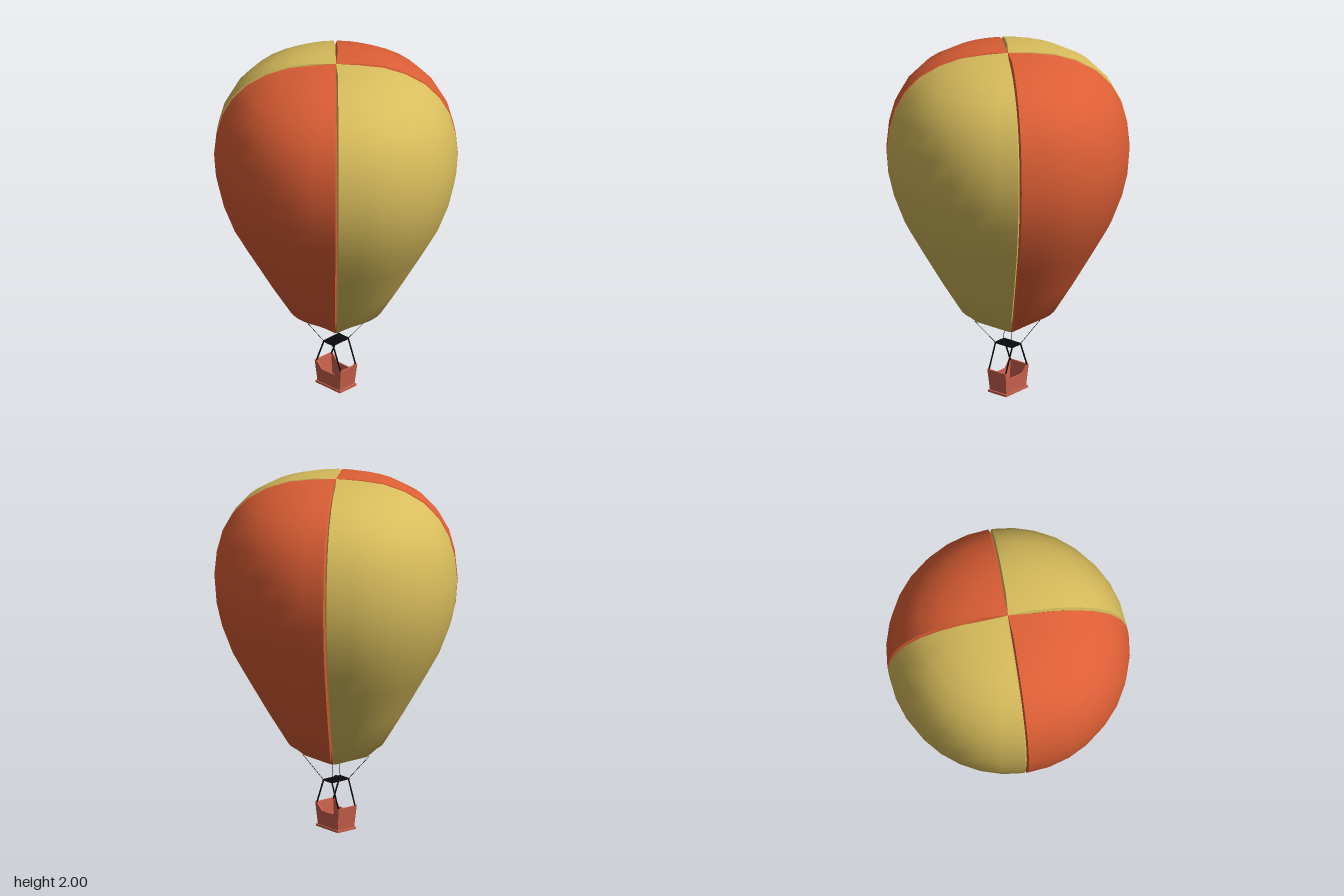
import * as THREE from 'three';
import { mergeGeometries, toCreasedNormals } from 'three/addons/utils/BufferGeometryUtils.js';

const mat = (color) => new THREE.MeshStandardMaterial({ color, side: THREE.DoubleSide });
const RED = mat(0xdd5f35), YELLOW = mat(0xd8bd5c), WICKER = mat(0xcc624d), BLACK = mat(0x0a0a0a);

// Envelope profile [radius, height], mouth to crown
const PROFILE = [
  [0.13, 0.412], [0.265, 0.495], [0.372, 0.67], [0.495, 0.885], [0.57, 1.02], [0.63, 1.18],
  [0.66, 1.31], [0.67, 1.44], [0.657, 1.57], [0.625, 1.69], [0.57, 1.79], [0.49, 1.875],
  [0.38, 1.94], [0.26, 1.98], [0.13, 1.996], [0, 2],
];

function mesh(name, geometry, material) {
  const m = new THREE.Mesh(geometry, material);
  m.name = name;
  return m;
}

// One quarter panel facing +z, its long edges folded inward to form the seams
function goreGeometry() {
  const segments = 8, groove = 0.022, gap = 0.009;
  const positions = [], index = [];
  const columns = segments + 3;
  PROFILE.forEach(([r, y], i) => {
    const below = PROFILE[Math.max(i - 1, 0)];
    const above = i === PROFILE.length - 1 ? [-below[0], below[1]] : PROFILE[i + 1];
    const inward = new THREE.Vector2(below[1] - above[1], above[0] - below[0]).normalize();
    for (let j = 0; j < columns; j++) {
      const fold = j === 0 || j === columns - 1;
      const t = THREE.MathUtils.clamp((j - 1) / segments, 0, 1) * 2 - 1;
      const half = Math.PI / 4 - (fold ? 0 : Math.asin(Math.min(0.5, gap / Math.max(r, 0.001))));
      const a = t * half;
      // the mouth is square, every other ring is round
      let radius = i === 0 ? r / Math.cos(a) : r;
      let h = y;
      if (fold) {
        radius = Math.max(0, radius + inward.x * groove);
        if (i > 0) h += inward.y * groove;
      }
      positions.push(radius * Math.sin(a), h, radius * Math.cos(a));
      if (i > 0 && j > 0) {
        const d = i * columns + j, c = d - 1, b = d - columns, e = b - 1;
        index.push(e, b, d, e, d, c);
      }
    }
  });
  const g = new THREE.BufferGeometry();
  g.setAttribute('position', new THREE.Float32BufferAttribute(positions, 3));
  g.setIndex(index);
  return toCreasedNormals(g, 0.65);
}

// Straight round bar between two points
function bar(name, from, to, radius, sides) {
  const a = new THREE.Vector3(...from), b = new THREE.Vector3(...to);
  const dir = b.clone().sub(a);
  const m = mesh(name, new THREE.CylinderGeometry(radius, radius, dir.length(), sides), BLACK);
  m.position.copy(a).add(b).multiplyScalar(0.5);
  m.quaternion.setFromUnitVectors(new THREE.Vector3(0, 1, 0), dir.normalize());
  return m;
}

// Basket walls, floor included, flaring towards the rim
function basketGeometry() {
  const w = 0.084, d = 0.058, h = 0.137, t = 0.007;
  const wall = new THREE.Shape([
    [-w, 0], [w, 0], [w, h], [w - 0.012, h], [0.042, 0.097],
    [-0.042, 0.097], [-w + 0.012, h], [-w, h],
  ].map(([x, y]) => new THREE.Vector2(x, y)));
  const parts = [];
  for (const s of [-1, 1]) {
    const panel = new THREE.ExtrudeGeometry(wall, { depth: t, bevelEnabled: false });
    parts.push(panel.translate(0, 0, s > 0 ? d - t : -d));
    const side = new THREE.BoxGeometry(t, h, 2 * (d - t)).toNonIndexed();
    parts.push(side.translate(s * (w - t / 2), h / 2, 0));
  }
  const g = mergeGeometries(parts);
  const p = g.attributes.position;
  for (let i = 0; i < p.count; i++) {
    const k = p.getY(i) / h;
    p.setX(i, p.getX(i) * (1 + 0.2 * k));
    p.setZ(i, p.getZ(i) * (1 + 0.12 * k));
  }
  g.computeVertexNormals();
  return g;
}

export function createModel() {
  const model = new THREE.Group();
  model.name = 'hotAirBalloon';

  // Envelope of four alternating panels
  const envelope = new THREE.Group();
  envelope.name = 'envelope';
  const gore = goreGeometry();
  for (let i = 0; i < 4; i++) {
    const panel = mesh('envelopePanel', gore, i % 2 ? YELLOW : RED);
    panel.rotation.y = i * Math.PI / 2;
    envelope.add(panel);
  }
  model.add(envelope);

  // Burner on its plate
  const plate = mesh('burnerPlate', new THREE.BoxGeometry(0.08, 0.006, 0.125), BLACK);
  plate.position.y = 0.276;
  const burner = mesh('burner', new THREE.CylinderGeometry(0.008, 0.015, 0.018, 8), BLACK);
  burner.position.y = 0.288;
  model.add(plate, burner);

  // Suspension wires and basket struts at each corner
  for (const sx of [-1, 1]) {
    for (const sz of [-1, 1]) {
      const corner = [sx * 0.036, 0.276, sz * 0.059];
      model.add(bar('suspensionWire', corner, [sx * 0.13, 0.414, sz * 0.13], 0.0015, 5));
      model.add(bar('basketStrut', [sx * 0.094, 0.13, sz * 0.059], corner, 0.0045, 6));
    }
  }

  // Basket
  const basket = new THREE.Group();
  basket.name = 'basket';
  const base = mesh('basketFloor', new THREE.BoxGeometry(0.19, 0.012, 0.13), WICKER);
  base.position.y = 0.006;
  basket.add(mesh('basketWalls', basketGeometry(), WICKER), base);
  model.add(basket);

  return model;
}
